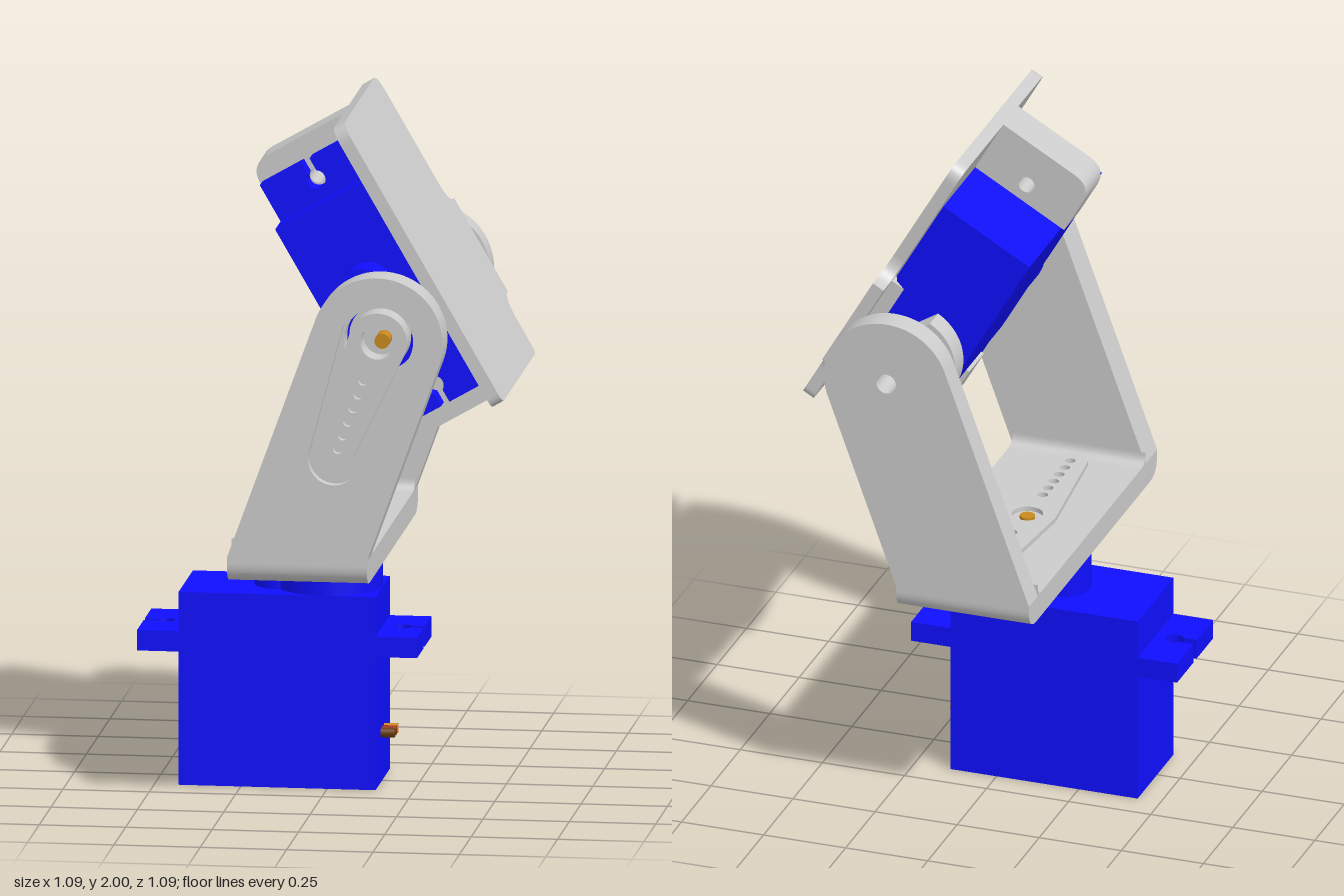
import * as THREE from 'three';

const paint = (color) => new THREE.MeshStandardMaterial({ color });
const grey = paint(0xcccccc), blue = paint(0x0f0fff);
const gold = paint(0xc88a1e), red = paint(0xa03010), brown = paint(0x6b4010);

function add(parent, name, geometry, material, x = 0, y = 0, z = 0) {
  const mesh = new THREE.Mesh(geometry, material);
  mesh.name = name;
  mesh.position.set(x, y, z);
  parent.add(mesh);
  return mesh;
}
const extrude = (shape, depth) =>
  new THREE.ExtrudeGeometry(shape, { depth, bevelEnabled: false, curveSegments: 24 });
const cyl = (r, h) => new THREE.CylinderGeometry(r, r, h, 40);
const polygon = (pts) => new THREE.Shape(pts.map(([x, y]) => new THREE.Vector2(x, y)));

function circleHole(shape, x, y, r) {
  shape.holes.push(new THREE.Path().absarc(x, y, r, 0, Math.PI * 2, true));
  return shape;
}

// Outline around two circles: r0 at the origin and r1 at (0, length)
function taper(r0, r1, length) {
  const a = Math.asin((r0 - r1) / length);
  const s = new THREE.Shape();
  s.absarc(0, length, r1, a, Math.PI - a, false);
  s.absarc(0, 0, r0, Math.PI - a, Math.PI * 2 + a, false);
  s.closePath();
  return s;
}

// Servo standing on y = 0 with its gear cap around x = z = 0
function createServo(name) {
  const g = new THREE.Group();
  g.name = name;
  add(g, 'servoBody', new THREE.BoxGeometry(0.57, 0.565, 0.304), blue, -0.132, 0.2825, 0);

  // mounting ears with open keyhole slots
  const a = 0.545, w = 0.014, s = new THREE.Shape();
  s.moveTo(-0.537, -0.152);
  s.lineTo(0.273, -0.152);
  s.lineTo(0.273, -w);
  s.absarc(0.21, 0, 0.027, -a, a, true);
  s.lineTo(0.273, w);
  s.lineTo(0.273, 0.152);
  s.lineTo(-0.537, 0.152);
  s.lineTo(-0.537, w);
  s.absarc(-0.474, 0, 0.027, Math.PI - a, Math.PI + a, true);
  s.lineTo(-0.537, -w);
  add(g, 'mountingEars', extrude(s, 0.06).rotateX(-Math.PI / 2), blue, 0, 0.39, 0);

  // gear housing and output shaft
  add(g, 'gearCap', cyl(0.152, 0.1), blue, 0, 0.615, 0);
  add(g, 'smallGearCap', cyl(0.075, 0.1), blue, -0.142, 0.615, 0);
  add(g, 'outputShaft', cyl(0.088, 0.03), grey, -0.02, 0.675, 0.012);

  // wire pins
  [gold, red, brown].forEach((m, i) =>
    add(g, 'wirePin', cyl(0.014, 0.06).rotateZ(Math.PI / 2), m, 0.163, 0.145, (i - 1) * 0.033));
  return g;
}

// One horn arm with its row of screw holes, lying in the xy plane
function hornArm(r0, r1, length, depth, hub, holes, step) {
  const s = taper(r0, r1, length);
  circleHole(s, 0, 0, hub);
  for (let i = 0; i < holes; i++) circleHole(s, 0, length - i * step, 0.015);
  return extrude(s, depth);
}

function createBracket() {
  const g = new THREE.Group();
  g.name = 'forkBracket';
  const px = 0.2, py = 1.395, lean = Math.PI / 9;

  // floor with rounded outer corners and inner fillets
  const f = new THREE.Shape();
  f.moveTo(-0.545, 0.755);
  f.lineTo(-0.545, 0.74);
  f.quadraticCurveTo(-0.545, 0.68, -0.48, 0.68);
  f.lineTo(0.48, 0.68);
  f.quadraticCurveTo(0.545, 0.68, 0.545, 0.74);
  f.lineTo(0.545, 0.755);
  f.lineTo(0.47, 0.755);
  f.lineTo(0.47, 0.79);
  f.quadraticCurveTo(0.47, 0.755, 0.435, 0.755);
  f.lineTo(-0.41, 0.755);
  f.quadraticCurveTo(-0.445, 0.755, -0.445, 0.79);
  f.lineTo(-0.445, 0.755);
  add(g, 'bracketFloor', extrude(f, 0.405).rotateY(Math.PI / 2), grey, -0.235, 0, 0);

  // leaning arms ending in a round eye
  const armShape = () => {
    const s = new THREE.Shape();
    s.moveTo(-0.435, -0.64);
    s.lineTo(-0.03, -0.64);
    s.absarc(0, 0, 0.19, -lean, Math.PI - lean, false);
    s.closePath();
    return s;
  };
  add(g, 'backArm', extrude(circleHole(armShape(), 0, 0, 0.03), 0.075), grey, px, py, -0.545);
  add(g, 'frontArmInner', extrude(circleHole(armShape(), 0, 0, 0.1), 0.07), grey, px, py, 0.445);
  const pocketed = armShape();
  const turn = Math.PI - lean;
  const pocket = taper(0.108, 0.075, 0.367).getPoints(24).map((p) => p.rotateAround(new THREE.Vector2(), turn));
  pocketed.holes.push(new THREE.Path(pocket));
  add(g, 'frontArmOuter', extrude(pocketed, 0.03), grey, px, py, 0.515);

  // servo horn seated in the front arm
  const horn = add(g, 'tiltHorn', hornArm(0.085, 0.05, 0.335, 0.02, 0.05, 6, 0.043), grey, px, py, 0.516);
  horn.rotation.z = turn;
  const hub = circleHole(new THREE.Shape().absarc(0, 0, 0.085, 0, Math.PI * 2, false), 0, 0, 0.05);
  add(g, 'tiltHornHub', extrude(hub, 0.07), grey, px, py, 0.447);
  add(g, 'tiltHornScrew', cyl(0.022, 0.06).rotateX(Math.PI / 2), gold, px + 0.01, py, 0.485);

  // two-armed horn on the floor
  for (const side of [0, Math.PI]) {
    const arm = add(g, 'panHornArm',
      hornArm(0.085, 0.05, 0.365, 0.015, 0.045, 6, 0.047).rotateX(-Math.PI / 2), grey, -0.035, 0.754, 0);
    arm.rotation.y = side;
  }
  add(g, 'panHornScrew', cyl(0.022, 0.012), gold, -0.035, 0.758, 0);
  return g;
}

// Tilting head: origin on the pivot, x out through the plate, y up along it
function createHead() {
  const g = new THREE.Group();
  g.name = 'tiltHead';

  // face plate with a wing on the pivot side
  const p = new THREE.Shape();
  p.moveTo(-0.365, -0.34);
  p.lineTo(0.28, -0.34);
  p.quadraticCurveTo(0.31, -0.34, 0.31, -0.31);
  p.lineTo(0.31, -0.23);
  p.quadraticCurveTo(0.31, -0.16, 0.38, -0.155);
  p.lineTo(0.39, -0.155);
  p.lineTo(0.39, 0.155);
  p.lineTo(0.38, 0.155);
  p.quadraticCurveTo(0.31, 0.16, 0.31, 0.23);
  p.lineTo(0.31, 0.53);
  p.quadraticCurveTo(0.31, 0.585, 0.255, 0.585);
  p.lineTo(-0.34, 0.585);
  p.quadraticCurveTo(-0.395, 0.585, -0.395, 0.53);
  p.lineTo(-0.395, -0.31);
  p.quadraticCurveTo(-0.395, -0.34, -0.365, -0.34);
  add(g, 'facePlate', extrude(p, 0.037).rotateY(Math.PI / 2), grey, 0.163, 0, 0);

  // pivot ear, its fillet to the plate, and the spacer boss
  const ear = new THREE.Shape();
  ear.moveTo(0.165, 0.155);
  ear.absarc(0, 0, 0.155, Math.PI / 2, Math.PI * 1.5, false);
  ear.lineTo(0.165, -0.155);
  add(g, 'pivotEar', extrude(circleHole(ear, 0, 0, 0.03), 0.07), grey, 0, 0, -0.39);
  const fillet = polygon([[0.165, 0.32], [0.12, 0.32], [0.15, 0.305], [0.165, 0.275]]);
  add(g, 'earFillet', extrude(fillet, 0.31).rotateX(-Math.PI / 2), grey, 0, -0.155, 0);
  const boss = circleHole(new THREE.Shape().absarc(0, 0, 0.127, 0, Math.PI * 2, false), 0, 0, 0.03);
  add(g, 'pivotBoss', extrude(boss, 0.08), grey, 0, 0, -0.47);

  // clip blocks that carry the servo ears
  const clip = (near, far, holeY) => {
    const s = new THREE.Shape(), r = Math.sign(far - near) * 0.065;
    s.moveTo(0.17, near);
    s.lineTo(0.17, far);
    s.lineTo(-0.085, far);
    s.quadraticCurveTo(-0.15, far, -0.15, far - r);
    s.lineTo(-0.15, near);
    s.closePath();
    add(g, 'servoClip', extrude(circleHole(s, 0.012, holeY, 0.024), 0.127), grey, 0, 0, 0.03);
  };
  clip(0.412, 0.585, 0.464);
  clip(-0.166, -0.34, -0.22);

  // servo lying on its side, shaft toward the front
  const servo = createServo('tiltServo');
  servo.setRotationFromMatrix(new THREE.Matrix4().makeBasis(
    new THREE.Vector3(0, -1, 0), new THREE.Vector3(0, 0, 1), new THREE.Vector3(-1, 0, 0)));
  servo.position.set(0.012, -0.012, -0.23);
  g.add(servo);

  g.position.set(0.2, 1.395, 0);
  g.rotation.z = Math.PI / 6;
  return g;
}

export function createModel() {
  const model = new THREE.Group();
  model.name = 'panTiltMount';
  const base = createServo('panServo');
  base.position.set(-0.013, 0, -0.013);
  model.add(base, createBracket(), createHead());
  return model;
}
